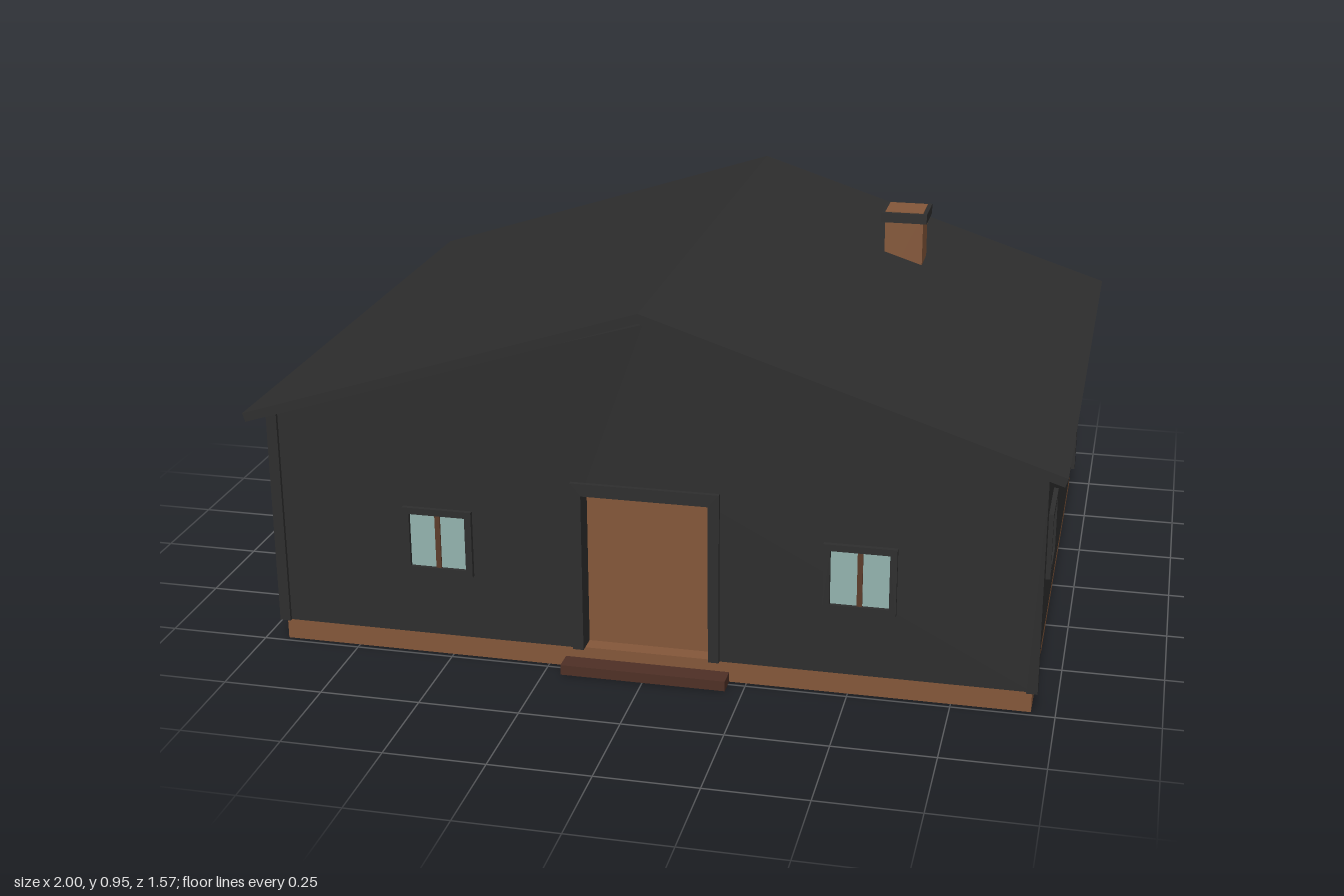
import * as THREE from 'three';

const mat = (name, color) => {
  const m = new THREE.MeshStandardMaterial({ color });
  m.name = name;
  return m;
};

export function createModel() {
  const house = new THREE.Group();
  house.name = 'house';

  const charcoal = mat('charcoal', 0x2e2e2e);
  const brown = mat('brown', 0x85583a);
  const glass = mat('paleGlass', 0x94b4b0);
  const mullionBrown = mat('mullionBrown', 0x5c3c2a);
  const stepBrown = mat('stepBrown', 0x4f3026);

  // Box given by its minimum and maximum corners
  const box = (name, material, [x0, y0, z0], [x1, y1, z1], parent = house) => {
    const mesh = new THREE.Mesh(new THREE.BoxGeometry(x1 - x0, y1 - y0, z1 - z0), material);
    mesh.position.set((x0 + x1) / 2, (y0 + y1) / 2, (z0 + z1) / 2);
    mesh.name = name;
    parent.add(mesh);
    return mesh;
  };

  // Outline in x and y, extruded from z0 to z1
  const prism = (name, material, points, z0, z1, parent = house, hole) => {
    const shape = new THREE.Shape(points.map(([x, y]) => new THREE.Vector2(x, y)));
    if (hole) shape.holes.push(new THREE.Path(hole.map(([x, y]) => new THREE.Vector2(x, y))));
    const geometry = new THREE.ExtrudeGeometry(shape, { depth: z1 - z0, bevelEnabled: false });
    geometry.translate(0, 0, z0);
    const mesh = new THREE.Mesh(geometry, material);
    mesh.name = name;
    parent.add(mesh);
    return mesh;
  };

  const wallX = 0.945, wallZ = 0.74, base = 0.055, recessZ = 0.69;

  // Foundation and front step
  box('foundation', brown, [-0.942, 0, -0.735], [0.942, base, 0.735]);
  box('frontStep', stepBrown, [-0.207, 0, 0.73], [0.207, 0.026, 0.787]);

  // Gabled body, with a front layer notched for the doorway
  const gable = [[wallX, 0.624], [0, 0.907], [-wallX, 0.624], [-wallX, base]];
  prism('walls', charcoal, [[wallX, base], ...gable], -wallZ, recessZ);
  prism('frontWall', charcoal, [
    [0.157, base], [wallX, base], ...gable,
    [-0.157, base], [-0.157, 0.465], [0.157, 0.465],
  ], recessZ, wallZ);

  // Corner trims
  for (const sx of [-1, 1]) {
    for (const sz of [-1, 1]) {
      const trim = box('cornerTrim', charcoal, [-0.0135, base, -0.0135], [0.0135, 0.615, 0.0135]);
      trim.position.x = sx * 0.9425;
      trim.position.z = sz * 0.7355;
    }
  }

  // Two roof slabs meeting at the ridge
  for (const s of [-1, 1]) {
    const outline = [[0, 0.924], [s * 0.993, 0.603], [s, 0.625], [0, 0.948]];
    prism(s > 0 ? 'leftRoof' : 'rightRoof', charcoal, outline, -0.787, 0.787);
  }

  // Chimney with a collar around its top
  box('chimney', brown, [0.42, 0.7, -0.418], [0.524, 0.926, -0.317]);
  box('chimneyCap', charcoal, [0.41, 0.898, -0.43], [0.535, 0.924, -0.305]);

  // Recessed door and its surround
  box('door', brown, [-0.157, base, recessZ], [0.157, 0.465, recessZ + 0.004]);
  prism('doorFrame', charcoal, [
    [0.157, base], [0.184, base], [0.184, 0.497], [-0.184, 0.497],
    [-0.184, base], [-0.157, base], [-0.157, 0.465], [0.157, 0.465],
  ], 0.735, 0.751);

  // Window with frame, glass and centre bar, facing +z at the wall surface
  const rect = (w, h) => [[-w, -h], [w, -h], [w, h], [-w, h]];
  const addWindow = (x, z, angle) => {
    const g = new THREE.Group();
    g.name = 'window';
    prism('windowFrame', charcoal, rect(0.0885, 0.0865), -0.005, 0.012, g, rect(0.0715, 0.07));
    box('windowGlass', glass, [-0.0715, -0.07, -0.003], [0.0715, 0.07, 0.002], g);
    box('windowBar', mullionBrown, [-0.0065, -0.07, 0], [0.0065, 0.07, 0.007], g);
    g.position.set(x, 0.31, z);
    g.rotation.y = angle;
    house.add(g);
  };
  for (const s of [-1, 1]) {
    addWindow(s * 0.525, wallZ, 0);
    addWindow(s * 0.525, -wallZ, Math.PI);
    addWindow(wallX, s * 0.37, Math.PI / 2);
    addWindow(-wallX, s * 0.37, -Math.PI / 2);
  }

  return house;
}
